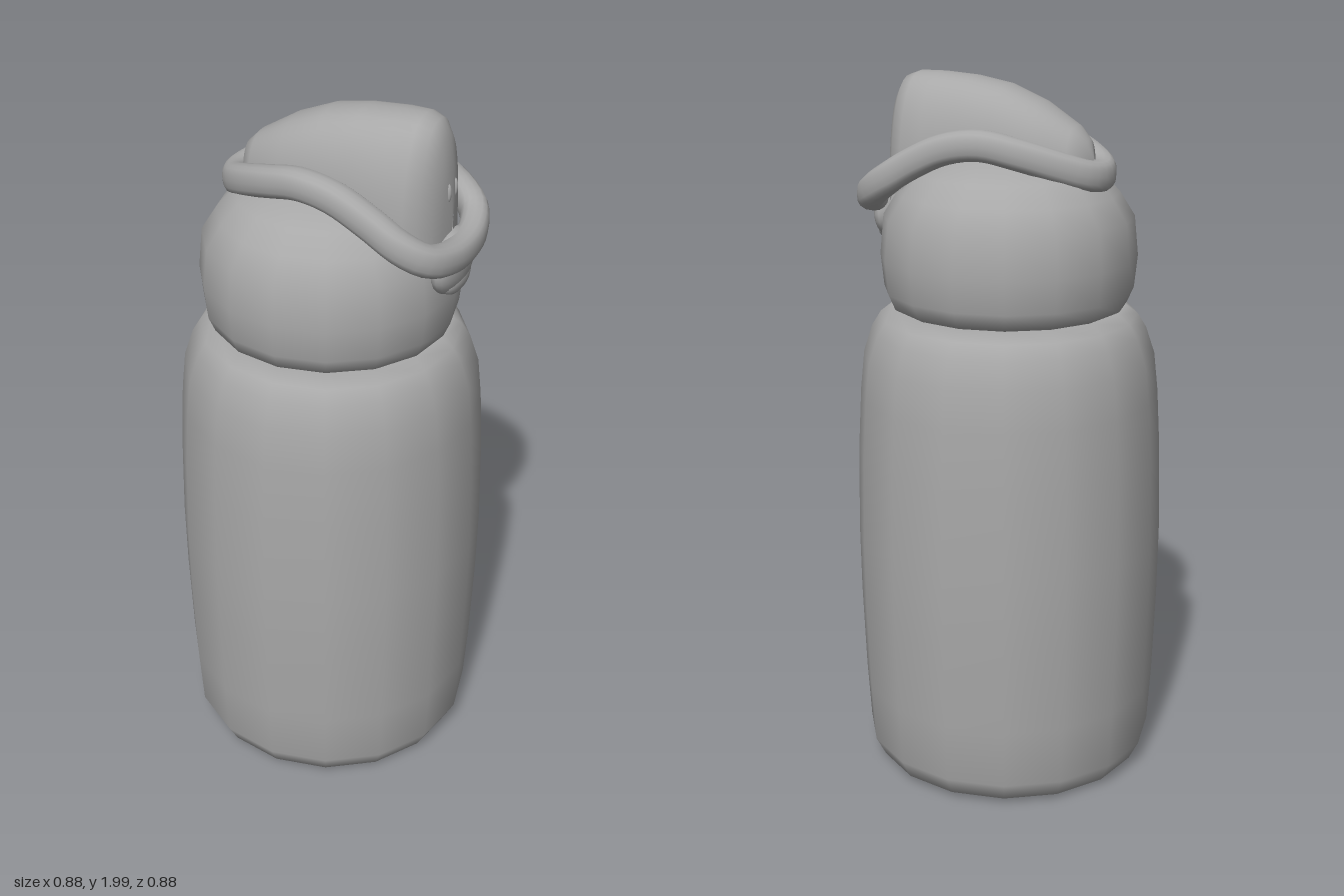
import * as THREE from 'three';

const grey = new THREE.MeshStandardMaterial({ color: 0xa8a8a8 });
grey.name = 'grey';

function add(group, name, geometry) {
  const mesh = new THREE.Mesh(geometry, grey);
  mesh.name = name;
  group.add(mesh);
  return mesh;
}

// Smooth surface through rings of Vector3, optionally closed both ways
function loft(rings, closed) {
  const n = rings.length, m = rings[0].length, index = [];
  for (let i = 0; i < (closed ? n : n - 1); i++) {
    for (let j = 0; j < (closed ? m : m - 1); j++) {
      const i2 = (i + 1) % n, j2 = (j + 1) % m;
      const a = i * m + j, b = i2 * m + j, c = i2 * m + j2, d = i * m + j2;
      index.push(a, b, d, b, c, d);
    }
  }
  const g = new THREE.BufferGeometry().setFromPoints(rings.flat());
  g.setIndex(index);
  g.computeVertexNormals();
  return g;
}

// 16-sided turned part, profile given from bottom to top
function turned(profile) {
  return new THREE.LatheGeometry(profile.map(([r, y]) => new THREE.Vector2(r, y)), 16);
}

const bend = (v, p) => Math.sign(v) * Math.pow(Math.abs(v), p);

// Rolled brim swept around a saddle-shaped closed path
function brimGeometry() {
  const side = [[-0.252, 1.752, 0.06], [-0.2, 1.775, 0.108], [-0.1, 1.81, 0.158],
    [0, 1.832, 0.184], [0.1, 1.818, 0.196], [0.2, 1.772, 0.203], [0.28, 1.722, 0.2],
    [0.338, 1.682, 0.165], [0.366, 1.66, 0.09]];
  const points = [[-0.27, 1.745, 0], ...side, [0.373, 1.652, 0],
    ...side.slice().reverse().map(([x, y, z]) => [x, y, -z])];
  const path = new THREE.CatmullRomCurve3(points.map(p => new THREE.Vector3(...p)), true);
  const up = new THREE.Vector3(0, 1, 0), rings = [];
  for (let i = 0; i < 72; i++) {
    const c = path.getPointAt(i / 72), t = path.getTangentAt(i / 72);
    const out = t.clone().cross(up).normalize();
    const top = out.clone().cross(t);
    const wide = 0.035 + 0.004 * (c.x > 0 ? 1 : 1 + c.x * 4);
    const ring = [];
    for (let j = 0; j < 16; j++) {
      const a = j / 16 * Math.PI * 2;
      ring.push(c.clone().addScaledVector(out, wide * bend(Math.cos(a), 0.8))
        .addScaledVector(top, 0.042 * bend(Math.sin(a), 0.8)));
    }
    rings.push(ring);
  }
  return loft(rings, true);
}

// Domed crown from arched sections: x, half width, top, base
function crownGeometry() {
  const stations = [[-0.25, 0.005, 1.79, 1.73], [-0.235, 0.05, 1.84, 1.73],
    [-0.2, 0.088, 1.875, 1.74], [-0.1, 0.125, 1.935, 1.76], [0, 0.14, 1.975, 1.77],
    [0.1, 0.146, 1.993, 1.75], [0.2, 0.152, 2.0, 1.72], [0.26, 0.147, 2.0, 1.69],
    [0.295, 0.127, 1.988, 1.67], [0.32, 0.092, 1.95, 1.65], [0.335, 0.055, 1.86, 1.63],
    [0.342, 0.005, 1.74, 1.62]];
  return loft(stations.map(([x, w, top, base]) => {
    const ring = [];
    for (let j = 0; j <= 20; j++) {
      const a = j / 20 * Math.PI;
      ring.push(new THREE.Vector3(x, base + (top - base) * bend(Math.sin(a), 0.85),
        w * bend(Math.cos(a), 0.85)));
    }
    return ring;
  }), false);
}

export function createModel() {
  const model = new THREE.Group();
  model.name = 'bottle';

  // Tall flask with rounded shoulder and foot
  add(model, 'body', turned([[0, 0.008], [0.22, 0.01], [0.36, 0.017], [0.39, 0.025], [0.418, 0.08],
    [0.428, 0.25], [0.436, 0.5], [0.438, 0.7], [0.432, 0.95], [0.422, 1.12], [0.41, 1.23],
    [0.385, 1.305], [0.36, 1.345], [0.325, 1.37], [0, 1.372]]));

  // Domed lid
  add(model, 'lid', turned([[0.30, 1.362], [0.33, 1.378], [0.348, 1.42], [0.357, 1.51],
    [0.346, 1.62], [0.305, 1.685], [0.255, 1.74], [0.16, 1.785], [0, 1.8]]));

  // Spout cover: brim, crown and thumb tab
  const cover = new THREE.Group();
  cover.name = 'spoutCover';
  model.add(cover);
  add(cover, 'brim', brimGeometry());
  add(cover, 'crown', crownGeometry());

  const tab = add(cover, 'thumbTab', new THREE.SphereGeometry(1, 20, 12));
  tab.scale.set(0.045, 0.085, 0.115);
  tab.position.set(0.345, 1.61, 0);
  const tip = add(cover, 'thumbTabTip', new THREE.SphereGeometry(1, 16, 10));
  tip.scale.set(0.028, 0.04, 0.08);
  tip.position.set(0.358, 1.565, 0);

  // Small ridges on the crown front
  for (const s of [-1, 1]) {
    const ridge = add(cover, 'ridge', new THREE.SphereGeometry(1, 8, 6));
    ridge.scale.set(0.008, 0.025, 0.007);
    ridge.position.set(0.336, 1.805, s * 0.022);
  }
  return model;
}
